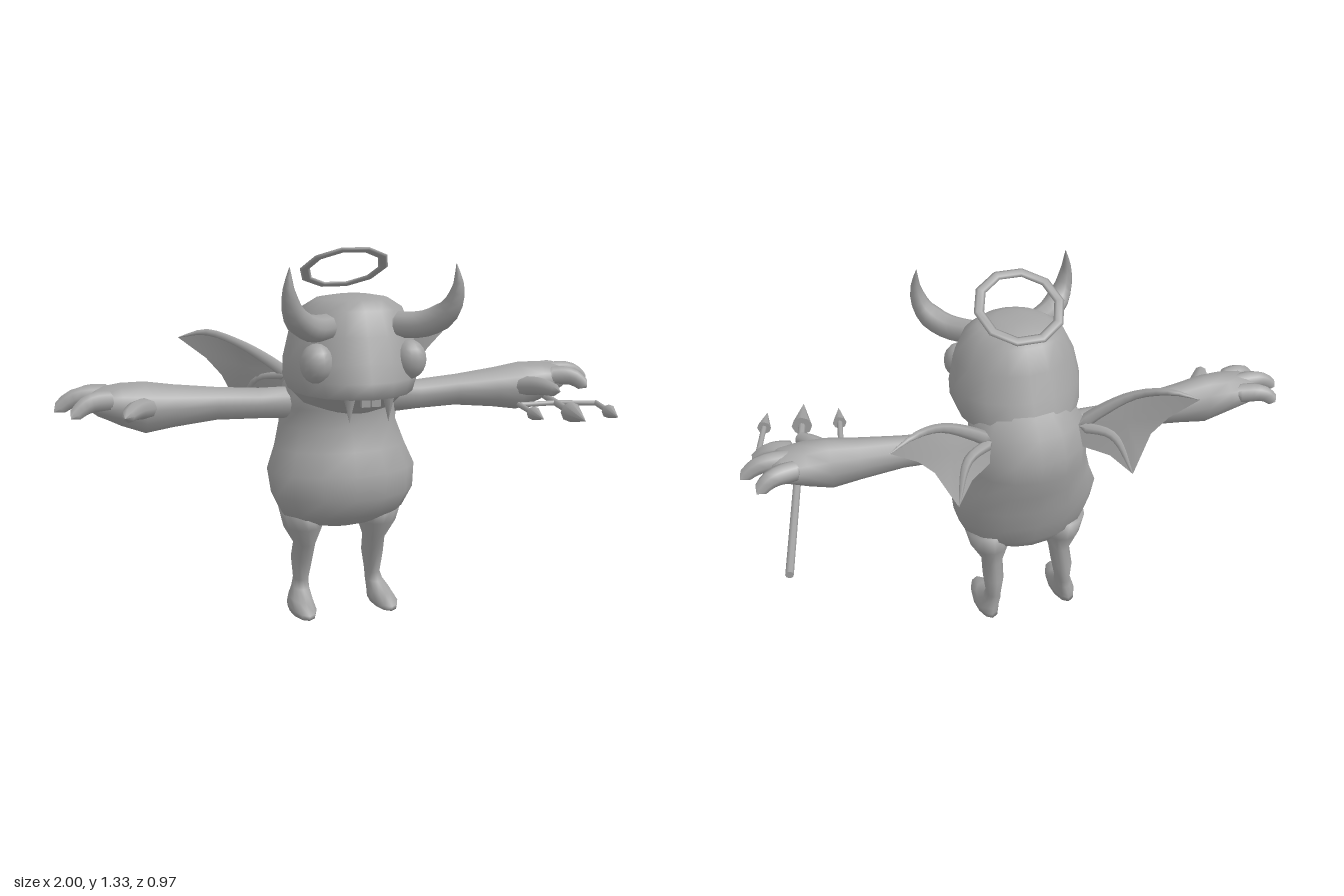
import * as THREE from 'three';

const skin = new THREE.MeshStandardMaterial({ color: 0xa3a3a3, side: THREE.DoubleSide });
skin.name = 'plain grey';

const V = (x, y, z) => new THREE.Vector3(x, y, z);

// Skin elliptical rings [t, aMin, aMax, bMin, bMax]; place(t, a, b) puts them in space
function loft(rings, place, n = 14) {
  const pos = [], idx = [];
  for (const [t, a0, a1, b0, b1] of rings) {
    for (let j = 0; j < n; j++) {
      const th = (j / n) * Math.PI * 2 + Math.PI / 2;
      const a = (a0 + a1) / 2 + Math.cos(th) * (a1 - a0) / 2;
      const b = (b0 + b1) / 2 + Math.sin(th) * (b1 - b0) / 2;
      pos.push(...place(t, a, b));
    }
  }
  const last = rings.length - 1;
  for (let i = 0; i < last; i++) {
    for (let j = 0; j < n; j++) {
      const p = i * n + j, q = i * n + (j + 1) % n;
      idx.push(p, p + n, q, q, p + n, q + n);
    }
  }
  // End caps
  for (const [i, flip] of [[0, false], [last, true]]) {
    const [t, a0, a1, b0, b1] = rings[i], c = pos.length / 3;
    pos.push(...place(t, (a0 + a1) / 2, (b0 + b1) / 2));
    for (let j = 0; j < n; j++) {
      const p = i * n + j, q = i * n + (j + 1) % n;
      idx.push(c, flip ? q : p, flip ? p : q);
    }
  }
  return surface(pos, idx);
}

function surface(pos, idx) {
  const g = new THREE.BufferGeometry();
  g.setAttribute('position', new THREE.Float32BufferAttribute(pos, 3));
  g.setIndex(idx);
  g.computeVertexNormals();
  return g;
}

const upright = (y, x, z) => [x, y, z];
const sideways = (x, z, y) => [x, y, z];

// Tube along points whose radius follows a list of values
function taper(points, radii, sides = 8, steps = 12) {
  const path = new THREE.CatmullRomCurve3(points.map(p => V(...p)));
  const g = new THREE.TubeGeometry(path, steps, 1, sides);
  const p = g.attributes.position, v = V(0, 0, 0);
  for (let i = 0; i <= steps; i++) {
    const u = i / steps, c = path.getPointAt(u);
    const f = u * (radii.length - 1), k = Math.min(Math.floor(f), radii.length - 2);
    const r = i === 0 || i === steps ? 0.001 : THREE.MathUtils.lerp(radii[k], radii[k + 1], f - k);
    for (let j = 0; j <= sides; j++) {
      const m = i * (sides + 1) + j;
      v.fromBufferAttribute(p, m).sub(c).multiplyScalar(r).add(c);
      p.setXYZ(m, v.x, v.y, v.z);
    }
  }
  return g;
}

function mirrored(geo) {
  const g = geo.clone().scale(-1, 1, 1), a = g.index.array;
  for (let i = 0; i < a.length; i += 3) [a[i], a[i + 1]] = [a[i + 1], a[i]];
  return g;
}

export function createModel() {
  const model = new THREE.Group();
  model.name = 'wingedImp';
  const add = (name, geo, parent = model) => {
    const m = new THREE.Mesh(geo, skin);
    m.name = name;
    parent.add(m);
    return m;
  };
  const pair = (name, geo) => {
    add(name + 'Left', geo);
    add(name + 'Right', mirrored(geo));
  };

  // Pot-bellied torso: [y, half width, back z, front z]
  const stack = rows => rows.map(([y, w, b, f]) => [y, -w, w, b, f]);
  add('torso', loft(stack([
    [0.32, 0.08, -0.05, 0.06], [0.335, 0.15, -0.09, 0.10], [0.38, 0.23, -0.12, 0.165],
    [0.455, 0.265, -0.145, 0.21], [0.54, 0.275, -0.165, 0.20], [0.62, 0.242, -0.18, 0.175],
    [0.70, 0.217, -0.205, 0.145], [0.77, 0.218, -0.2, 0.15], [0.85, 0.205, -0.17, 0.16],
    [0.92, 0.15, -0.12, 0.13],
  ]), upright));

  // Head with overhanging upper jaw
  add('head', loft(stack([
    [0.775, 0.10, -0.13, 0.23], [0.80, 0.165, -0.16, 0.30], [0.84, 0.20, -0.15, 0.325],
    [0.85, 0.215, -0.145, 0.378], [0.90, 0.235, -0.125, 0.365], [0.96, 0.236, -0.097, 0.347],
    [1.05, 0.217, -0.055, 0.317], [1.13, 0.178, -0.018, 0.287], [1.163, 0.125, 0.03, 0.25],
    [1.175, 0.06, 0.10, 0.21],
  ]), upright, 18));

  // Eyes
  pair('eye', new THREE.SphereGeometry(1, 14, 10).scale(0.058, 0.067, 0.056).translate(0.163, 0.963, 0.275));

  // Horns
  pair('horn', taper([[0.1, 1.08, 0.24], [0.2, 1.088, 0.32], [0.262, 1.135, 0.372],
    [0.285, 1.21, 0.392], [0.28, 1.288, 0.385]], [0.044, 0.045, 0.044, 0.026, 0.002]));

  // Fangs and front teeth
  pair('fang', new THREE.ConeGeometry(0.02, 0.085, 6).rotateX(Math.PI).translate(0.068, 0.81, 0.335));
  pair('tooth', new THREE.BoxGeometry(0.03, 0.03, 0.015).translate(0.018, 0.838, 0.35));

  // Legs and feet: [y, inner x, outer x, back z, front z]
  pair('leg', loft([
    [0, 0.112, 0.203, -0.083, 0.145], [0.02, 0.11, 0.205, -0.084, 0.152],
    [0.042, 0.112, 0.195, -0.08, 0.085], [0.07, 0.113, 0.178, -0.077, 0.018],
    [0.10, 0.113, 0.17, -0.078, 0.0], [0.18, 0.10, 0.178, -0.09, 0.025],
    [0.25, 0.095, 0.175, -0.064, 0.052], [0.32, 0.07, 0.215, -0.085, 0.085],
    [0.40, 0.06, 0.235, -0.10, 0.11],
  ], upright, 12));

  // Arms with palms: [x, back z, front z, bottom y, top y]
  pair('arm', loft([
    [0.14, -0.05, 0.05, 0.72, 0.84], [0.3, -0.045, 0.045, 0.73, 0.84],
    [0.45, -0.05, 0.055, 0.735, 0.852], [0.6, -0.063, 0.073, 0.72, 0.87],
    [0.7, -0.07, 0.085, 0.705, 0.886], [0.78, -0.08, 0.09, 0.735, 0.885],
    [0.86, -0.085, 0.088, 0.775, 0.872], [0.89, -0.06, 0.06, 0.80, 0.855],
  ], sideways, 12));

  // Fingers and thumb
  const fingers = [
    [[0.80, 0.835, -0.055], [0.90, 0.832, -0.08], [0.955, 0.79, -0.092]],
    [[0.80, 0.84, 0.0], [0.93, 0.84, 0.0], [1.0, 0.795, 0.0]],
    [[0.80, 0.835, 0.055], [0.89, 0.832, 0.08], [0.95, 0.79, 0.1]],
    [[0.68, 0.80, 0.04], [0.74, 0.81, 0.12], [0.785, 0.80, 0.195]],
  ];
  fingers.forEach((pts, i) => pair(i < 3 ? 'finger' + (i + 1) : 'thumb',
    taper(pts, [0.035, 0.036, 0.03, 0.02], 8, 8)));

  // Wing membrane: scalloped outline fanned from a sunken middle point
  const outline = [
    [0.16, 0.86, -0.12], [0.24, 0.92, -0.14], [0.34, 0.98, -0.175], [0.44, 1.012, -0.24],
    [0.535, 0.99, -0.285], [0.44, 0.915, -0.25], [0.385, 0.85, -0.235], [0.345, 0.77, -0.25],
    [0.315, 0.712, -0.262], [0.25, 0.765, -0.2], [0.17, 0.78, -0.14],
  ];
  const n = outline.length, fan = [];
  for (let i = 0; i < n; i++) fan.push(0, (i + 1) % n + 1, i + 1);
  pair('wingMembrane', surface([[0.31, 0.885, -0.19], ...outline].flat(), fan));
  pair('wingEdgeBone', taper(outline.slice(0, 5), [0.026, 0.022, 0.016, 0.013, 0.002], 6));
  pair('wingLowerBone', taper([[0.16, 0.86, -0.13], [0.26, 0.84, -0.19], [0.315, 0.712, -0.262]],
    [0.022, 0.016, 0.003], 6));

  // Halo: flat ring, tilted up at the front
  const halo = add('halo', new THREE.TorusGeometry(0.142, 0.018, 6, 10).scale(1, 1, 0.35));
  halo.position.set(0, 1.258, 0.057);
  halo.rotation.x = 1.052;

  // Trident, pointing forward along its own z
  const trident = new THREE.Group();
  trident.name = 'trident';
  trident.position.set(0.783, 0.755, 0.17);
  trident.rotation.y = -0.179;
  model.add(trident);
  const rod = (name, a, b, r0, r1 = r0) => {
    const d = b.clone().sub(a);
    const m = add(name, new THREE.CylinderGeometry(r1, r0, d.length(), 8), trident);
    m.position.copy(a).add(b).multiplyScalar(0.5);
    m.quaternion.setFromUnitVectors(V(0, 1, 0), d.normalize());
  };
  rod('shaft', V(0, 0, -0.67), V(0, 0, 0.2), 0.013);
  rod('centrePoint', V(0, 0, 0.165), V(0, 0, 0.318), 0.037, 0.001);
  for (const s of [-1, 1]) {
    rod('crossbar', V(0, 0, 0), V(s * 0.145, 0, 0.025), 0.01);
    rod('prong', V(s * 0.145, 0, 0.018), V(s * 0.136, 0, 0.2), 0.01);
    rod('prongPoint', V(s * 0.137, 0, 0.17), V(s * 0.132, 0, 0.272), 0.025, 0.001);
  }
  return model;
}
